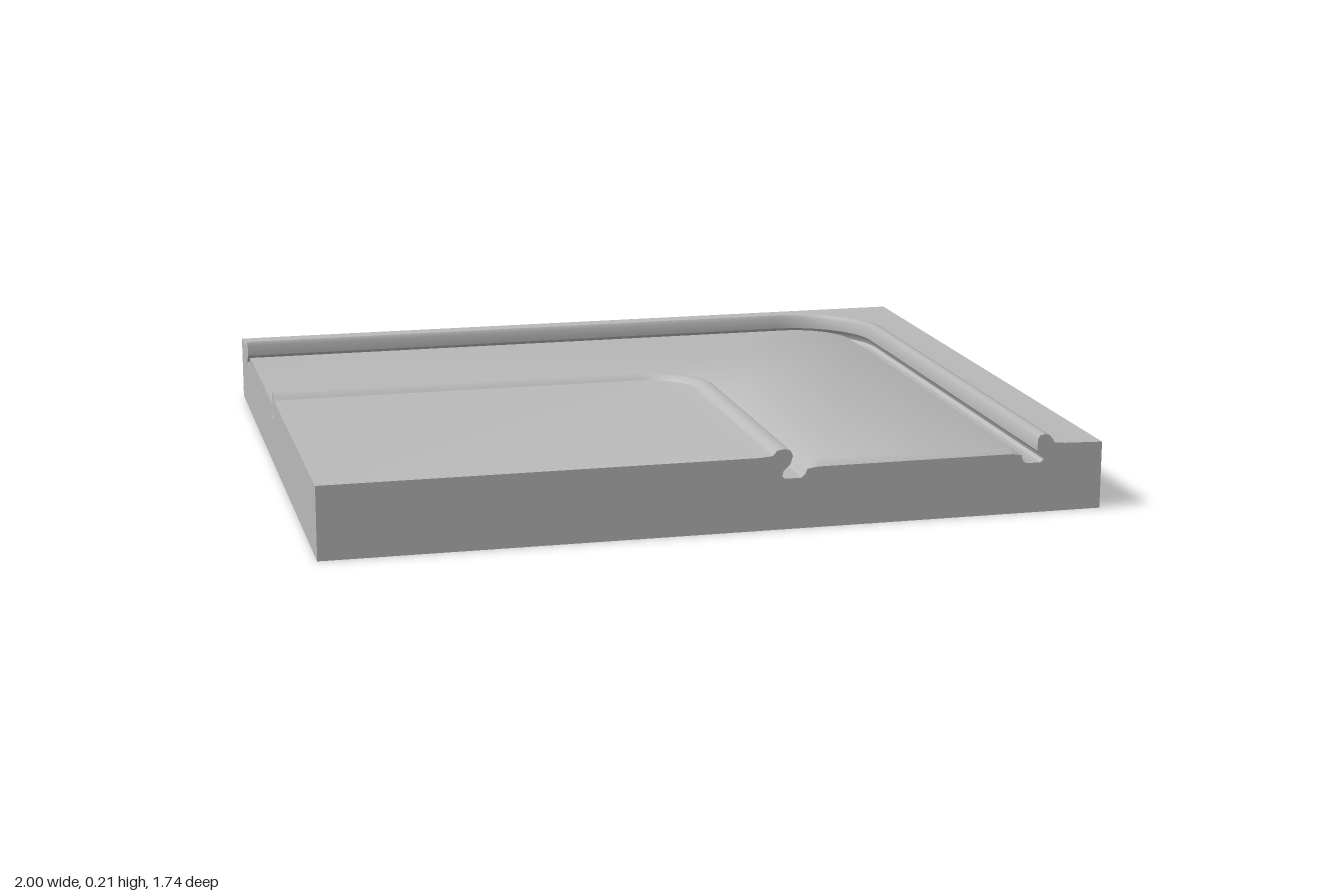
import * as THREE from 'three';
import { toCreasedNormals } from 'three/addons/utils/BufferGeometryUtils.js';

const FRONT = 0.87, SHIFT = 0.13;

// Cross-section of the bend: [distance, height, optional drop at the front edge]
const inner = [
  [-1, 0.187], [0.1, 0.187], [0.13, 0.19], [0.142, 0.203], [0.16, 0.206], [0.176, 0.201],
  [0.182, 0.187], [0.175, 0.165], [0.158, 0.15], [0.155, 0.136], [0.162, 0.13],
  [0.205, 0.13], [0.214, 0.138], [0.22, 0.152], [0.25, 0.168, 0.012],
];
const outer = [
  [0.76, 0.168, 0.012], [0.784, 0.152], [0.788, 0.136], [0.797, 0.13], [0.835, 0.13],
  [0.843, 0.137], [0.84, 0.148], [0.826, 0.16], [0.826, 0.19], [0.832, 0.2],
  [0.845, 0.203], [0.857, 0.2], [0.866, 0.19], [0.872, 0.179], [0.9, 0.177], [1, 0.174],
];
const profile = [...inner, ...outer];

// One line following the bend: up from the front edge, round the corner, out to the left edge
function bendLine([u, y, drop = 0], cx) {
  const cz = SHIFT - cx, r = u - cx, steps = 20;
  const line = [[u, y - drop, FRONT], [u, y, FRONT - 0.02]];
  for (let k = 0; k <= steps; k++) {
    const a = (k / steps) * Math.PI / 2;
    line.push([cx + r * Math.cos(a), y, cz - r * Math.sin(a)]);
  }
  line.push([-1, y, SHIFT - u]);
  return line;
}

// Top skin lofted between the bend lines
function topSurface() {
  const rows = [
    ...inner.map((p) => bendLine(p, 0)),
    ...outer.map((p) => bendLine(p, p[0] === 1 ? 1 : 0.6)),
  ];
  rows[0] = rows[0].map(() => [-1, inner[0][1], FRONT]); // the inner field fans out from its corner
  const n = rows[0].length, index = [];
  for (let i = 0; i < rows.length - 1; i++) {
    for (let j = 0; j < n - 1; j++) {
      const a = i * n + j, b = a + n;
      index.push(a, b, b + 1);
      if (i > 0) index.push(a, b + 1, a + 1);
    }
  }
  const geometry = new THREE.BufferGeometry();
  geometry.setAttribute('position', new THREE.Float32BufferAttribute(rows.flat(2), 3));
  geometry.setIndex(index);
  return toCreasedNormals(geometry, 0.7);
}

// Flat end wall that shows the cross-section
function endWall(points) {
  const last = points[points.length - 1];
  const outline = [...points, [last[0], 0], [points[0][0], 0]];
  return new THREE.ShapeGeometry(new THREE.Shape(outline.map(([x, y]) => new THREE.Vector2(x, y))));
}

export function createModel() {
  const group = new THREE.Group();
  const stone = new THREE.MeshStandardMaterial({ color: 0xbababa });
  stone.name = 'stone grey';
  const add = (name, geometry) => {
    const mesh = new THREE.Mesh(geometry, stone);
    mesh.name = name;
    group.add(mesh);
  };

  add('roadAndCurbs', topSurface());

  // End walls where the road leaves the tile
  add('frontWall', endWall(profile.map(([u, y, d = 0]) => [u, y - d])).translate(0, 0, FRONT));
  const left = profile.map(([u, y]) => [SHIFT - Math.max(u, SHIFT - FRONT), y]);
  add('sideWall', endWall(left).rotateY(-Math.PI / 2).translate(-1, 0, 0));

  // Plain walls and underside
  const h = 0.174;
  add('backWall', new THREE.PlaneGeometry(2, h).rotateY(Math.PI).translate(0, h / 2, -FRONT));
  add('outerWall', new THREE.PlaneGeometry(2 * FRONT, h).rotateY(Math.PI / 2).translate(1, h / 2, 0));
  add('underside', new THREE.PlaneGeometry(2, 2 * FRONT).rotateX(Math.PI / 2));
  return group;
}
